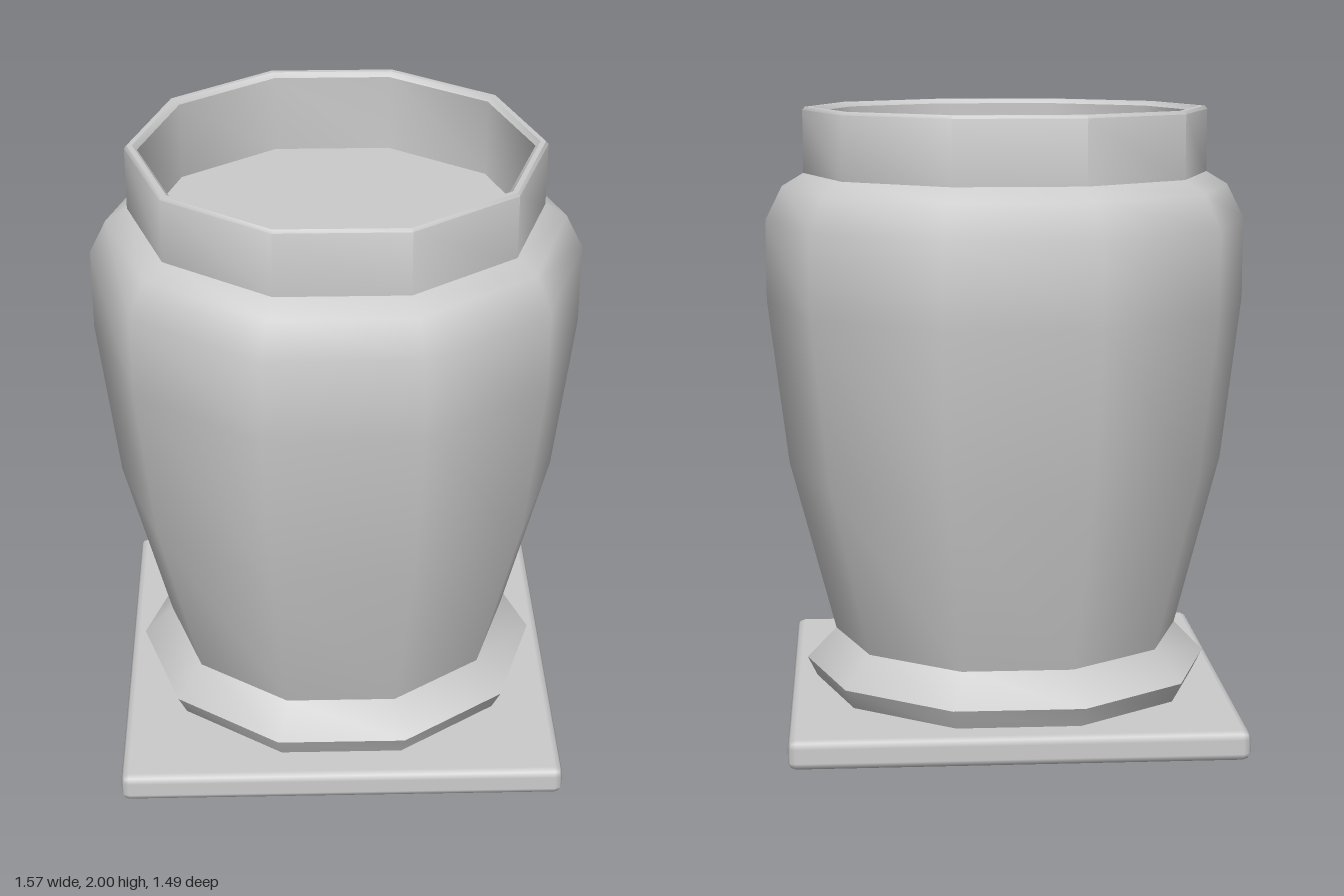
import * as THREE from 'three';
import { toCreasedNormals } from 'three/addons/utils/BufferGeometryUtils.js';
import { RoundedBoxGeometry } from 'three/addons/geometries/RoundedBoxGeometry.js';

const SIDES = 10;

export function createModel() {
  const group = new THREE.Group();
  const material = new THREE.MeshStandardMaterial({ color: 0xcccccc });

  function add(name, geometry) {
    const mesh = new THREE.Mesh(geometry, material);
    mesh.name = name;
    group.add(mesh);
    return mesh;
  }

  // Ten-sided turned part with a corner pointing along +x; profile is [radius, y]
  function turned(name, profile, crease) {
    const points = profile.map(([r, y]) => new THREE.Vector2(r, y));
    const geometry = new THREE.LatheGeometry(points, SIDES, Math.PI / 2);
    return add(name, toCreasedNormals(geometry, crease));
  }

  // Square plate under the vessel
  const plate = add('basePlate', new RoundedBoxGeometry(1.44, 0.095, 1.44, 1, 0.025));
  plate.position.set(0, 0.0475, 0.01);

  // Flared foot
  turned('foot', [[0.635, 0.09], [0.67, 0.16], [0.572, 0.26]], 1.0);

  // Swelling body with a rounded shoulder
  turned('body', [
    [0.572, 0.26], [0.72, 0.83], [0.785, 1.37], [0.785, 1.635], [0.73, 1.745], [0.66, 1.787],
  ], 1.0);

  // Neck with a thin bevelled rim
  turned('neck', [
    [0.66, 1.78], [0.66, 1.99], [0.652, 2], [0.635, 2], [0.62, 1.985], [0.62, 1.73],
  ], 0.75);

  // Floor inside the neck
  turned('innerFloor', [[0.62, 1.73], [0, 1.73]], 0.75);

  return group;
}
